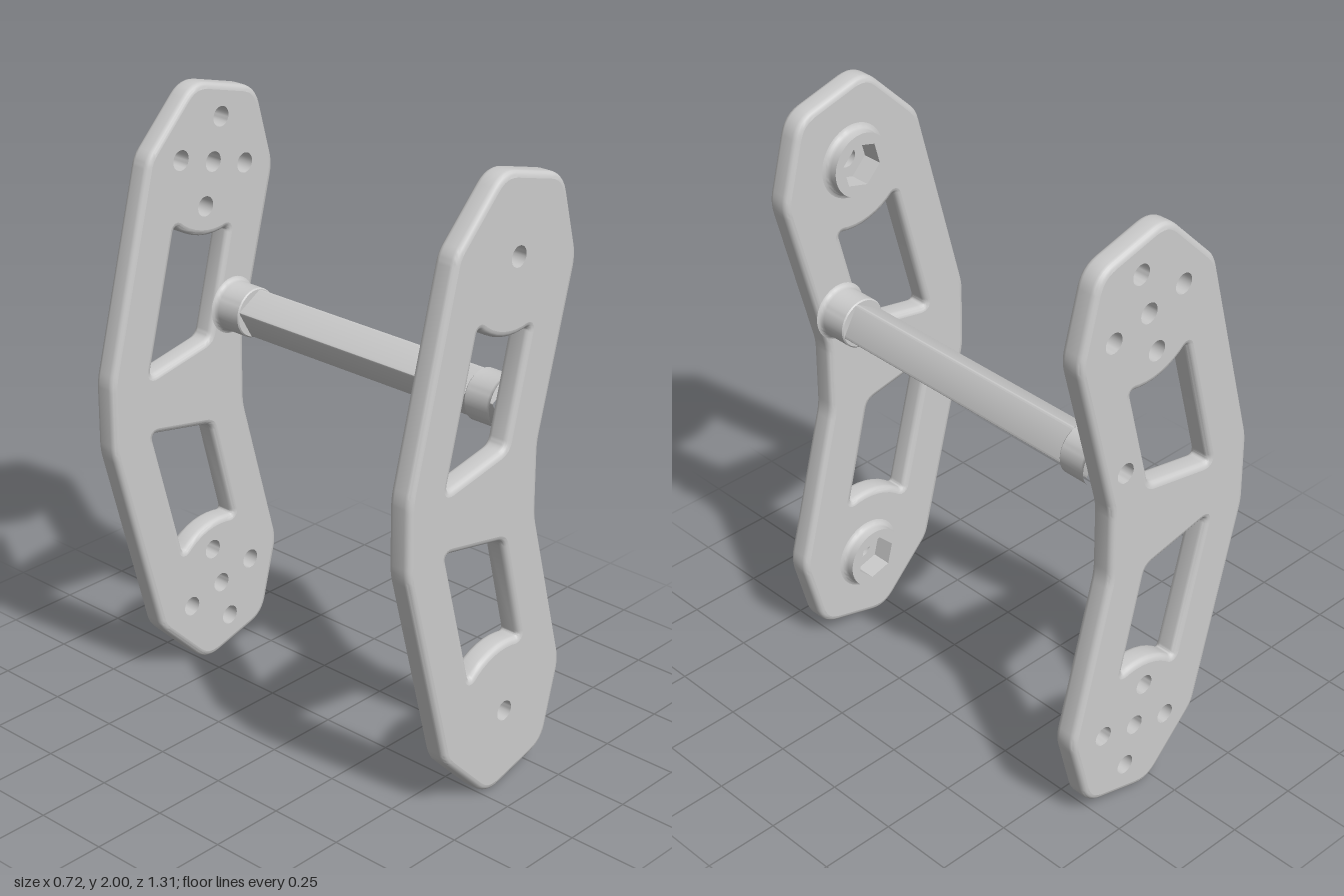
import * as THREE from 'three';
import { mergeGeometries, toCreasedNormals } from 'three/addons/utils/BufferGeometryUtils.js';

const V = (x, y) => new THREE.Vector2(x, y);
const TILT = THREE.MathUtils.degToRad(15);
const material = new THREE.MeshStandardMaterial({ color: 0xcccccc });

// Closed contour from [x, y, cornerCut] points; material always lies on its left.
function contour(points, isHole = false) {
  const out = [];
  points.forEach(([x, y, r], i) => {
    const p = V(x, y);
    if (!r) return out.push(p);
    const toward = (q) => V(q[0], q[1]).sub(p).setLength(r).add(p);
    const a = toward(points[(i + points.length - 1) % points.length]);
    const b = toward(points[(i + 1) % points.length]);
    out.push(...new THREE.QuadraticBezierCurve(a, p, b).getPoints(6));
  });
  return THREE.ShapeUtils.isClockWise(out) === isHole ? out : out.reverse();
}

function polygon([cx, cy], r, sides, phase = 0, isHole = false) {
  const pts = [];
  for (let i = 0; i < sides; i++) {
    const a = phase + (i / sides) * Math.PI * 2;
    pts.push([cx + r * Math.cos(a), cy + r * Math.sin(a)]);
  }
  return contour(pts, isHole);
}

// Move a contour into the material by distance d.
function inset(pts, d) {
  const n = pts.length;
  return pts.map((p, i) => {
    const e1 = p.clone().sub(pts[(i + n - 1) % n]).normalize();
    const e2 = pts[(i + 1) % n].clone().sub(p).normalize();
    const n1 = V(-e1.y, e1.x), n2 = V(-e2.y, e2.x);
    return p.clone().add(n1.clone().add(n2).multiplyScalar(d / (1 + n1.dot(n2))));
  });
}

// Wall through equal-length contours, given as [contour, z] with rising z.
function loft(rings) {
  const pos = [], idx = [], n = rings[0][0].length;
  rings.forEach(([pts, z]) => pts.forEach((p) => pos.push(p.x, p.y, z)));
  for (let k = 0; k < rings.length - 1; k++) {
    for (let i = 0; i < n; i++) {
      const j = (i + 1) % n, a = k * n + i, b = k * n + j;
      idx.push(a, b, b + n, a, b + n, a + n);
    }
  }
  const g = new THREE.BufferGeometry();
  g.setAttribute('position', new THREE.Float32BufferAttribute(pos, 3));
  g.setIndex(idx);
  return toCreasedNormals(g.toNonIndexed(), 0.6);
}

// Flat face with holes, looking along +z or -z.
function cap(pts, holes, z, dir) {
  const shape = new THREE.Shape(pts);
  shape.holes = holes.map((h) => new THREE.Path(h));
  const g = new THREE.ShapeGeometry(shape);
  if (dir < 0) g.index.array.reverse();
  g.translate(0, 0, z);
  g.deleteAttribute('uv');
  g.computeVertexNormals();
  return g.toNonIndexed();
}

const mirrorY = ([x, y, r]) => [x, 2 - y, r];

// Curved plate outline: upper half mirrored into the lower half
const half = [[0.215, 1.12, 0.03], [0.362, 1.67, 0.04], [0.29, 1.94, 0.06],
  [0.02, 2.013, 0.06], [-0.182, 1.81, 0.03], [-0.365, 1.12, 0.03]];
const outline = contour([...half, ...half.map(mirrorY).reverse()]);

// Window with an arched end that is concentric with the mounting point
const mount = [0.09, 1.74];
const windowPoints = [[-0.2, 1.1, 0.025], [0.06, 1.15, 0.025]];
for (let i = 0; i <= 8; i++) {
  const a = THREE.MathUtils.degToRad(-75 - (59 * i) / 8);
  windowPoints.push([mount[0] + 0.24 * Math.cos(a), mount[1] + 0.24 * Math.sin(a),
    i === 0 || i === 8 ? 0.018 : 0]);
}
const windows = [contour(windowPoints, true), contour(windowPoints.map(mirrorY), true)];
const mounts = [mount, mirrorY(mount)];
const rodCentre = [0.165, 1.24];
const BORE = 0.033;
const bore = (c) => polygon(c, BORE, 24, 0, true);

// Round-edged plate; the two faces may carry different small openings.
function plateParts(z0, z1, frontHoles, backHoles) {
  const R = 0.02, profile = [];
  for (let i = 0; i <= 4; i++) {
    const a = (i / 4) * Math.PI / 2;
    profile.push([R * (1 - Math.sin(a)), z0 + R * (1 - Math.cos(a))]);
  }
  for (let i = 4; i >= 0; i--) profile.push([profile[i][0], z0 + z1 - profile[i][1]]);
  const edges = [outline, ...windows].map((c) => loft(profile.map(([d, z]) => [inset(c, d), z])));
  const face = inset(outline, R), openings = windows.map((w) => inset(w, R));
  return [...edges,
    cap(face, [...openings, ...frontHoles], z1, 1),
    cap(face, [...openings, ...backHoles], z0, -1)];
}

// Round boss with a fillet at its root; profile is [radius, z] with rising z.
const turned = (c, profile) => loft(profile.map(([r, z]) => [polygon(c, r, 48), z]));

export function createModel() {
  const group = new THREE.Group();
  const add = (name, parts) => {
    const mesh = new THREE.Mesh(mergeGeometries(parts), material);
    mesh.name = name;
    group.add(mesh);
  };

  // Front plate with hexagonal nut pockets opening to the inside
  const F0 = 0.573, F1 = 0.653, floorZ = 0.6, bossZ = 0.532;
  const hexes = mounts.map((c, i) => polygon(c, 0.075, 6, i ? -TILT : TILT, true));
  add('frontPlate', [
    ...plateParts(F0, F1, mounts.map(bore), hexes),
    ...mounts.map((c) => loft([[bore(c), floorZ], [bore(c), F1]])),
  ]);
  mounts.forEach((c, i) => add(i ? 'lowerNutBoss' : 'upperNutBoss', [
    turned(c, [[0.104, bossZ], [0.104, 0.554], [0.107, 0.564], [0.113, 0.57], [0.122, F0]]),
    cap(polygon(c, 0.104, 48), [hexes[i]], bossZ, -1),
    loft([[hexes[i], bossZ], [hexes[i], floorZ]]),
    cap(hexes[i].slice().reverse(), [bore(c)], floorZ, -1),
  ]));

  // Back plate with a tilted cross of bolt holes at each end
  const B0 = -0.653, B1 = -0.573, D = 0.143;
  const cross = [mount];
  for (let k = 0; k < 4; k++) {
    const a = (k * Math.PI) / 2 - TILT;
    cross.push([mount[0] + D * Math.cos(a), mount[1] + D * Math.sin(a)]);
  }
  const bolts = [...cross, ...cross.map(mirrorY)].map(bore);
  const rodBolt = bore(rodCentre);
  add('backPlate', [
    ...plateParts(B0, B1, bolts, [...bolts, rodBolt]),
    ...[...bolts, rodBolt].map((b) => loft([[b, B0], [b, B1]])),
    cap(rodBolt.slice().reverse(), [], B1 - 0.001, -1),
  ]);

  // Square cross rod, tilted with the arms
  const corners = polygon(rodCentre, 0.08, 4, -TILT).map((p) => [p.x, p.y, 0.008]);
  const rod = contour(corners);
  add('crossRod', [loft([[rod, B1], [rod, F0]])]);

  // Collars where the rod meets the plates
  const collar = [[0.078, 0.467], [0.082, 0.471], [0.082, 0.555], [0.084, 0.565], [0.088, 0.57], [0.095, F0]];
  add('frontCollar', [turned(rodCentre, collar), cap(polygon(rodCentre, 0.078, 48), [], 0.467, -1)]);
  add('backCollar', [
    turned(rodCentre, collar.map(([r, z]) => [r, -z]).reverse()),
    cap(polygon(rodCentre, 0.078, 48), [], -0.467, 1),
  ]);

  return group;
}
